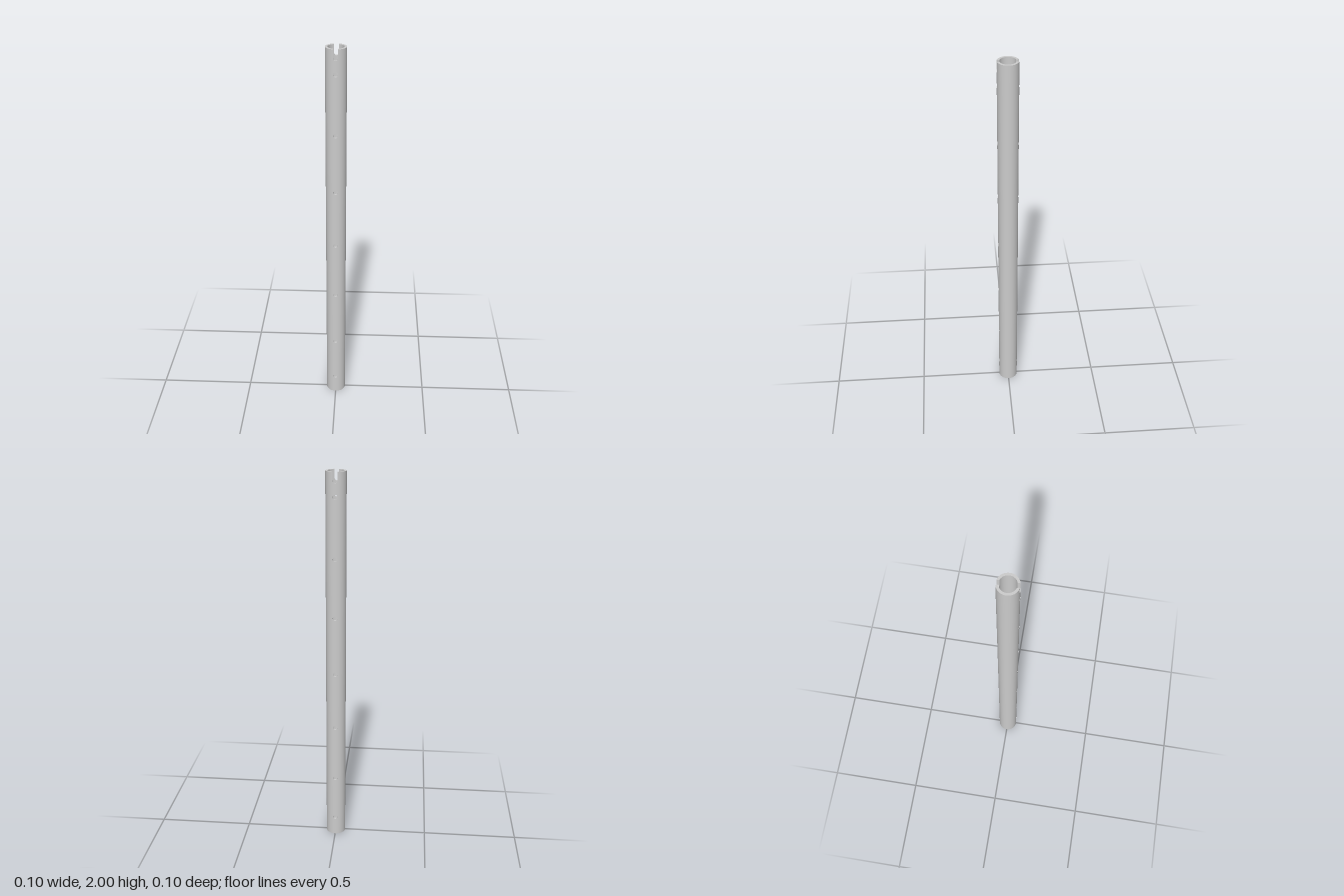
import * as THREE from 'three';

const OUTER = 0.052, INNER = 0.04, HEIGHT = 2;
const HOLE = 0.012;                       // hole radius and half width of the slot
const SLOT_Y = 1.958;                     // centre of the slot's round bottom
const HOLES = [0.106, 0.352, 0.658, 0.964, 1.27, 1.575, 1.88];
const ARC_STEPS = 28, HOLE_STEPS = 12;

// Collects quads with given corner normals, wound to face along those normals
function quadBuilder() {
  const pos = [], nor = [];
  return {
    quad(pts, normals) {
      const e1 = pts[1].clone().sub(pts[0]), e2 = pts[2].clone().sub(pts[0]);
      const e3 = pts[3].clone().sub(pts[0]);
      const face = e1.cross(e2).add(e2.clone().cross(e3));
      const order = face.dot(normals[0].clone().add(normals[2])) > 0 ? [0, 1, 2, 0, 2, 3] : [0, 2, 1, 0, 3, 2];
      for (const i of order) {
        pos.push(...pts[i].toArray());
        nor.push(...normals[i].toArray());
      }
    },
    build() {
      const g = new THREE.BufferGeometry();
      g.setAttribute('position', new THREE.Float32BufferAttribute(pos, 3));
      g.setAttribute('normal', new THREE.Float32BufferAttribute(nor, 3));
      return g;
    },
  };
}

// A column line of the wall: one outer and one inner point in plan
const column = (ao, ai) => ({
  o: new THREE.Vector2(OUTER * Math.sin(ao), OUTER * Math.cos(ao)),
  i: new THREE.Vector2(INNER * Math.sin(ai), INNER * Math.cos(ai)),
});
const at = (p, y) => new THREE.Vector3(p.x, y, p.y);
const radial = (p, s) => new THREE.Vector3(p.x, 0, p.y).normalize().multiplyScalar(s);

function tubeGeometry() {
  const b = quadBuilder();
  const up = new THREE.Vector3(0, 1, 0), down = new THREE.Vector3(0, -1, 0);

  // Outer and inner skin between columns a and b, each with its own y range
  const skins = (c, d, c0, c1, d0, d1) => {
    for (const [k, s] of [['o', 1], ['i', -1]]) {
      const nc = radial(c[k], s), nd = radial(d[k], s);
      b.quad([at(c[k], c0), at(d[k], d0), at(d[k], d1), at(c[k], c1)], [nc, nd, nd, nc]);
    }
  };
  // Surface running through the wall's thickness
  const through = (c, d, yc, yd, nc, nd) =>
    b.quad([at(c.o, yc), at(d.o, yd), at(d.i, yd), at(c.i, yc)], [nc, nd, nd, nc]);

  for (const side of [0, Math.PI]) {
    // Plain half of the wall, from slot to slot
    const so = Math.asin(HOLE / OUTER), si = Math.asin(HOLE / INNER);
    const plain = (k) => {
      const t = k / ARC_STEPS;
      return column(side + so + t * (Math.PI - 2 * so), side + si + t * (Math.PI - 2 * si));
    };
    for (let k = 0; k < ARC_STEPS; k++) {
      const c = plain(k), d = plain(k + 1);
      skins(c, d, 0, HEIGHT, 0, HEIGHT);
      through(c, d, HEIGHT, HEIGHT, up, up);
      through(c, d, 0, 0, down, down);
    }

    // Narrow strip with the row of round holes and the slot
    const sign = side ? -1 : 1;
    const strip = (k) => {
      const t = Math.PI * k / HOLE_STEPS, x = -HOLE * Math.cos(t);
      const c = column(side + Math.asin(x / OUTER), side + Math.asin(x / INNER));
      const ux = sign * Math.cos(t);
      return {
        ...c, h: HOLE * Math.sin(t),
        floor: new THREE.Vector3(ux, Math.sin(t), 0),
        roof: new THREE.Vector3(ux, -Math.sin(t), 0),
      };
    };
    for (let k = 0; k < HOLE_STEPS; k++) {
      const c = strip(k), d = strip(k + 1);
      let c0 = 0, d0 = 0;
      through(c, d, 0, 0, down, down);
      for (const y of [...HOLES, SLOT_Y]) {
        skins(c, d, c0, y - c.h, d0, y - d.h);
        through(c, d, y - c.h, y - d.h, c.floor, d.floor);
        if (y !== SLOT_Y) through(c, d, y + c.h, y + d.h, c.roof, d.roof);
        c0 = y + c.h;
        d0 = y + d.h;
      }
    }

    // Straight cheeks of the slot
    for (const k of [0, HOLE_STEPS]) {
      const c = strip(k), n = c.floor;
      b.quad([at(c.o, SLOT_Y), at(c.i, SLOT_Y), at(c.i, HEIGHT), at(c.o, HEIGHT)], [n, n, n, n]);
    }
  }
  return b.build();
}

export function createModel() {
  const group = new THREE.Group();
  group.name = 'slottedPost';
  const tube = new THREE.Mesh(tubeGeometry(), new THREE.MeshStandardMaterial({ color: 0xcccccc }));
  tube.name = 'perforatedTube';
  group.add(tube);
  return group;
}
